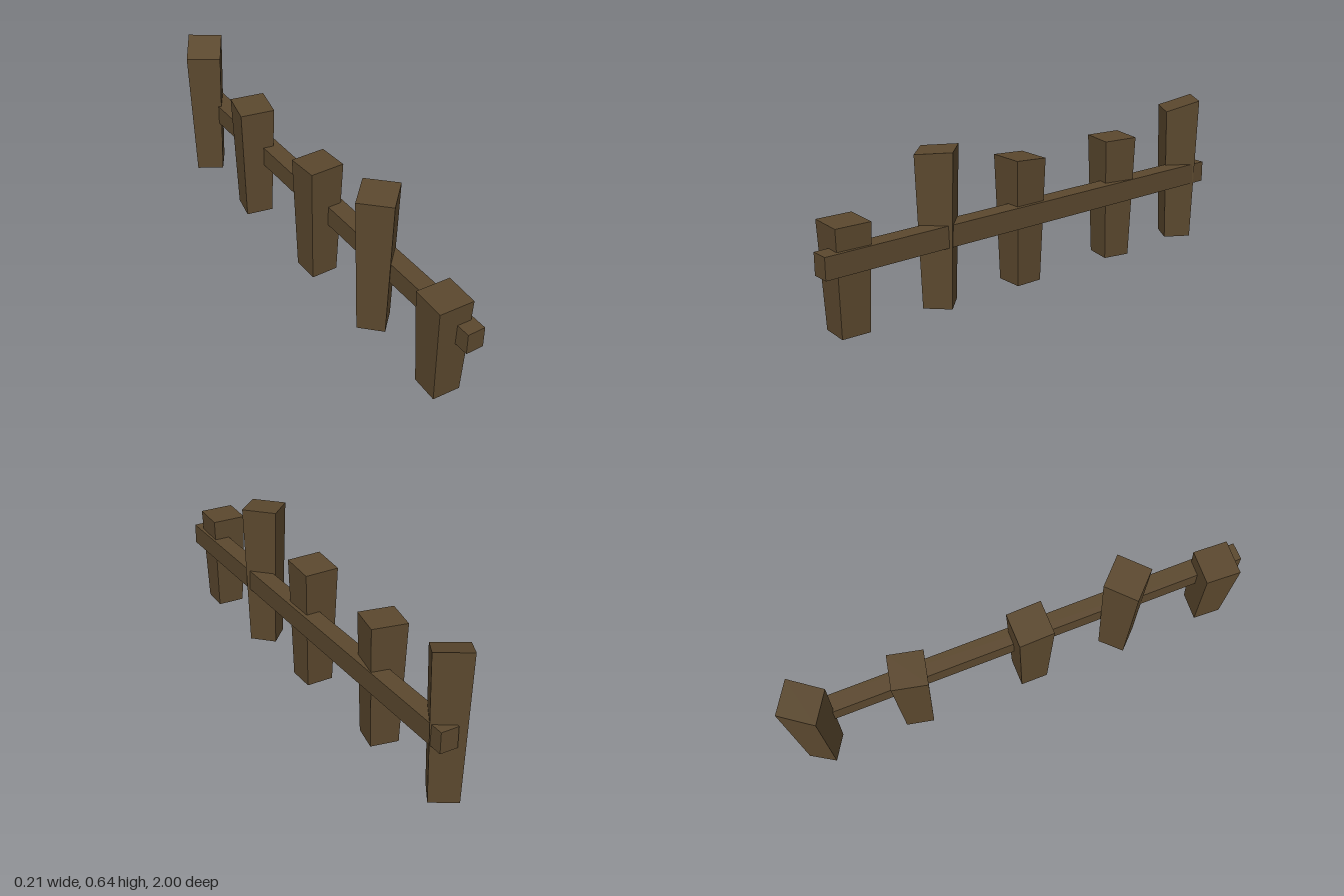
import * as THREE from 'three';

// Square post, wider at the top, with a slanted cut; heights run round the four corners. Open underneath.
function postGeometry(bottom, top, heights) {
  const signs = [[-1, -1], [1, -1], [1, 1], [-1, 1]];
  const lower = signs.map(([x, z]) => [x * bottom, 0, z * bottom]);
  const upper = signs.map(([x, z], i) => [x * top, heights[i], z * top]);
  const points = [];
  const quad = (a, b, c, d) => points.push(...a, ...b, ...c, ...a, ...c, ...d);
  for (let i = 0; i < 4; i++) {
    const j = (i + 1) % 4;
    quad(lower[i], upper[i], upper[j], lower[j]);
  }
  quad(upper[3], upper[2], upper[1], upper[0]);
  const geometry = new THREE.BufferGeometry();
  geometry.setAttribute('position', new THREE.Float32BufferAttribute(points, 3));
  geometry.computeVertexNormals();
  return geometry;
}

export function createModel() {
  const group = new THREE.Group();
  group.name = 'woodenFence';
  const wood = new THREE.MeshStandardMaterial({ color: 0x5b482e, flatShading: true, side: THREE.DoubleSide });
  wood.name = 'darkWood';

  // Posts from front to back: position, turn, half widths, corner heights
  const posts = [
    { x: -0.001, z: 0.868, turn: -0.045, bottom: 0.059, top: 0.074, heights: [0.435, 0.435, 0.435, 0.435] },
    { x: 0, z: 0.45, turn: Math.PI / 4, bottom: 0.058, top: 0.074, heights: [0.625, 0.636, 0.637, 0.626] },
    { x: -0.002, z: 0.038, turn: 0, bottom: 0.059, top: 0.074, heights: [0.526, 0.526, 0.537, 0.537] },
    { x: -0.002, z: -0.478, turn: -0.21, bottom: 0.059, top: 0.074, heights: [0.533, 0.533, 0.53, 0.53] },
    { x: -0.004, z: -0.898, turn: -0.56, bottom: 0.059, top: 0.074, heights: [0.642, 0.64, 0.595, 0.597] },
  ];
  posts.forEach((p, i) => {
    const post = new THREE.Mesh(postGeometry(p.bottom, p.top, p.heights), wood);
    post.name = `post${i + 1}`;
    post.position.set(p.x, 0, p.z);
    post.rotation.y = p.turn;
    group.add(post);
  });

  // Long rail running through the posts
  const rail = new THREE.Mesh(new THREE.BoxGeometry(0.076, 0.09, 1.98), wood);
  rail.name = 'rail';
  rail.position.set(0.045, 0.301, 0.01);
  group.add(rail);
  return group;
}
